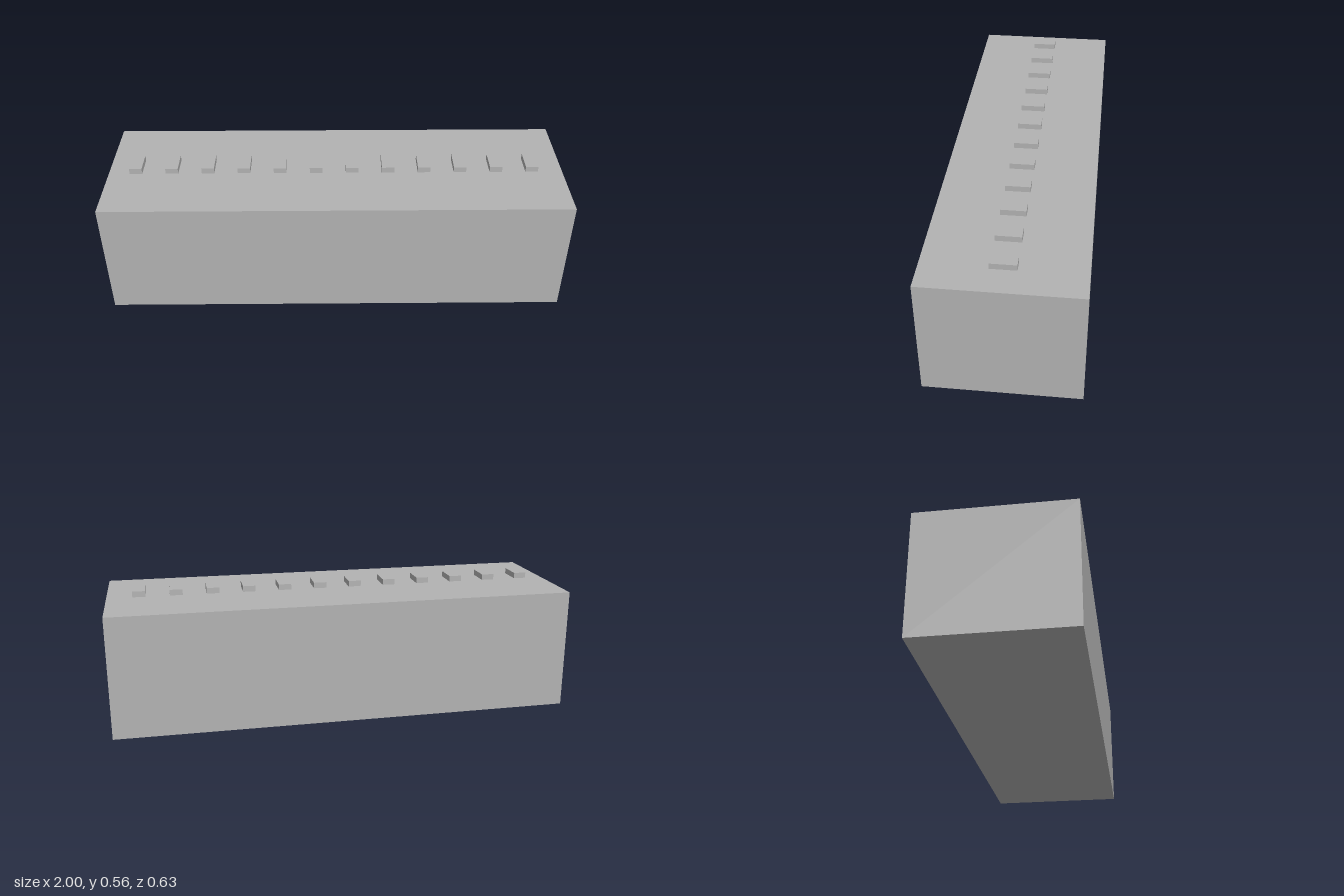
import * as THREE from 'three';

export function createModel() {
  const group = new THREE.Group();
  const grey = new THREE.MeshStandardMaterial({ color: 0xb2b2b2 });
  grey.name = 'grey';

  const addBox = (name, size, position) => {
    const mesh = new THREE.Mesh(new THREE.BoxGeometry(...size), grey);
    mesh.name = name;
    mesh.position.set(...position);
    group.add(mesh);
  };

  // Long solid body
  const bodyHeight = 0.527;
  addBox('body', [2, bodyHeight, 0.632], [0, bodyHeight / 2, 0]);

  // Row of small blocks hovering just above the top, slightly off centre
  const count = 12, firstX = -0.877, spacing = 0.158;
  for (let i = 0; i < count; i++) {
    addBox(`topBlock${i + 1}`, [0.055, 0.025, 0.105], [firstX + i * spacing, 0.549, 0]);
  }

  return group;
}
